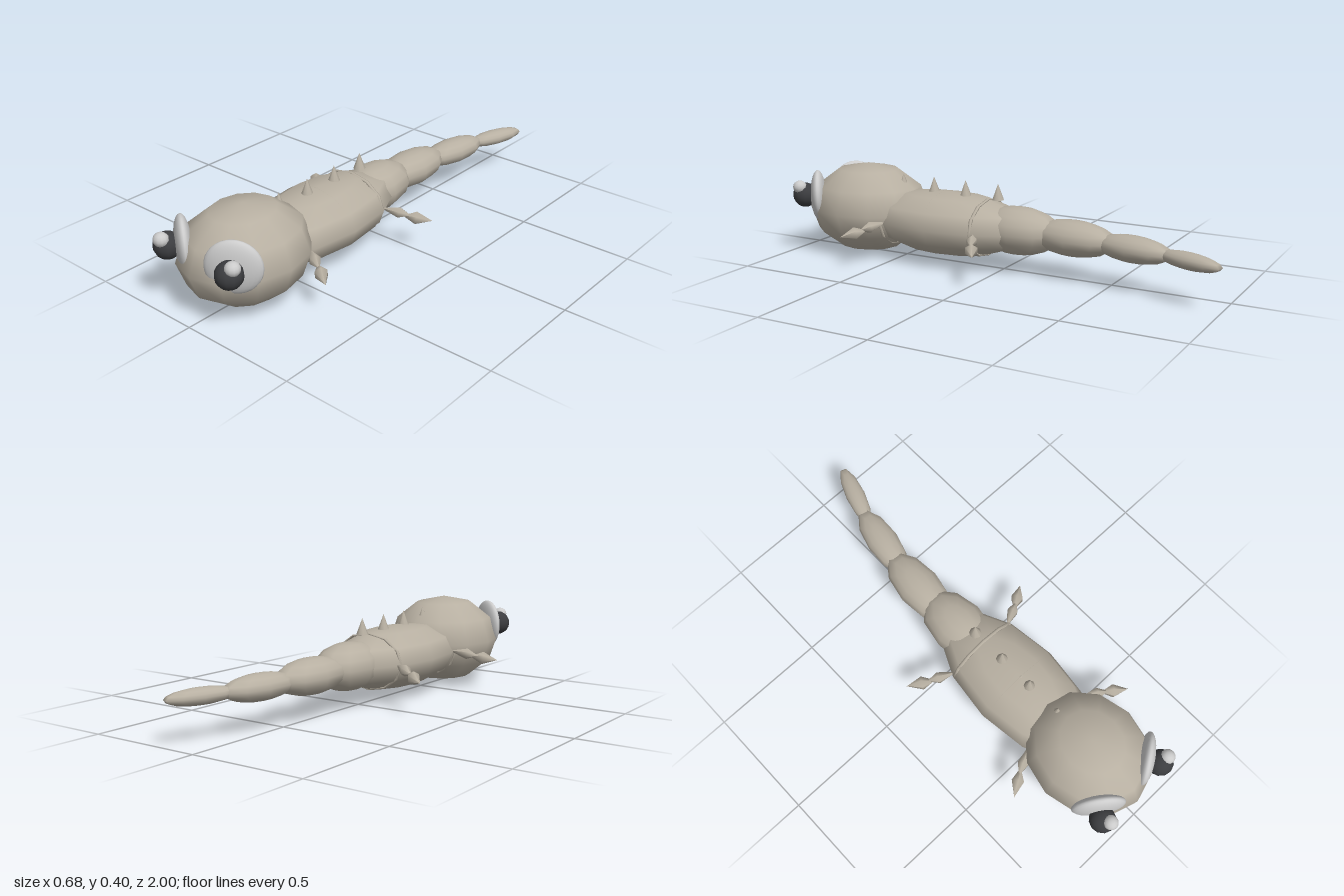
import * as THREE from 'three';

export function createModel() {
  const root = new THREE.Group();
  const material = (color) => new THREE.MeshStandardMaterial({ color });
  const skin = material(0xb8b0a2), white = material(0xcccccc), dark = material(0x3c3d40);

  function add(name, geometry, mat, x, y, z) {
    const mesh = new THREE.Mesh(geometry, mat);
    mesh.name = name;
    mesh.position.set(x, y, z);
    root.add(mesh);
    return mesh;
  }

  function ellipsoid(name, mat, [x, y, z], [rx, ry, rz], turn = 0, w = 12, h = 6) {
    const g = new THREE.SphereGeometry(1, w, h);
    const mesh = add(name, g, mat, x, y, z);
    mesh.scale.set(rx, ry, rz);
    mesh.rotation.y = turn;
    return mesh;
  }

  // Head and torso
  ellipsoid('head', skin, [0, 0.203, 0.7], [0.245, 0.202, 0.28]);
  ellipsoid('torso', skin, [0, 0.176, 0.285], [0.2, 0.139, 0.42]);

  // Tail: overlapping ellipsoids that shrink and curve to the left
  const tail = [
    [[0, 0.18, -0.07], [0.12, 0.103, 0.2], 0],
    [[0, 0.178, -0.325], [0.094, 0.076, 0.2], -0.06],
    [[0.032, 0.175, -0.6], [0.07, 0.055, 0.18], -0.17],
    [[0.095, 0.176, -0.855], [0.043, 0.034, 0.152], -0.32],
  ];
  tail.forEach(([p, r, turn], i) => ellipsoid(`tailSegment${i + 1}`, skin, p, r, turn, 10, 8));

  // Thin bands almost sunk in the torso
  for (const [z, rx, ry] of [[0.08, 0.168, 0.122], [0.3, 0.19, 0.134], [0.53, 0.168, 0.122]]) {
    const band = add('bodyBand', new THREE.TorusGeometry(1, 0.04, 6, 12), skin, 0, 0.176, z);
    band.scale.set(rx, ry, 0.2);
  }

  // Row of spikes along the back
  for (const z of [0.03, 0.19, 0.35, 0.51]) {
    add('backSpike', new THREE.ConeGeometry(0.026, 0.07, 8), skin, 0, 0.337, z);
  }

  // A double-pointed spindle from a to b, widest at fraction t
  function spindle(name, a, b, radius, t) {
    const start = new THREE.Vector3(...a), dir = new THREE.Vector3(...b).sub(start);
    const len = dir.length();
    const profile = [[0, 0], [radius, len * t], [0, len]].map((p) => new THREE.Vector2(...p));
    const mesh = add(name, new THREE.LatheGeometry(profile, 6), skin, ...a);
    mesh.quaternion.setFromUnitVectors(new THREE.Vector3(0, 1, 0), dir.normalize());
  }

  // Legs: front pair reaches forward, rear pair reaches back
  for (const [pair, z, s] of [['front', 0.53, 1], ['rear', 0.05, -1]]) {
    for (const side of [1, -1]) {
      const at = (x, y, dz) => [side * x, y, z + s * dz];
      spindle(`${pair}Leg`, at(0.15, 0.18, -0.02), at(0.265, 0.158, 0.04), 0.025, 0.6);
      spindle(`${pair}Foot`, at(0.235, 0.157, 0.02), at(0.338, 0.139, 0.088), 0.029, 0.45);
    }
  }

  // Eyes: flat discs turned outward, round pupils and glints
  for (const side of [1, -1]) {
    ellipsoid('eye', white, [side * 0.138, 0.262, 0.885], [0.111, 0.111, 0.034], side * 0.62, 24, 16);
    ellipsoid('pupil', dark, [side * 0.167, 0.262, 0.935], [0.055, 0.055, 0.055], side * 0.62, 12, 10);
    ellipsoid('eyeGlint', white, side > 0 ? [0.195, 0.302, 0.942] : [-0.16, 0.302, 0.968],
      [0.031, 0.029, 0.031], 0, 12, 8);
  }
  return root;
}
